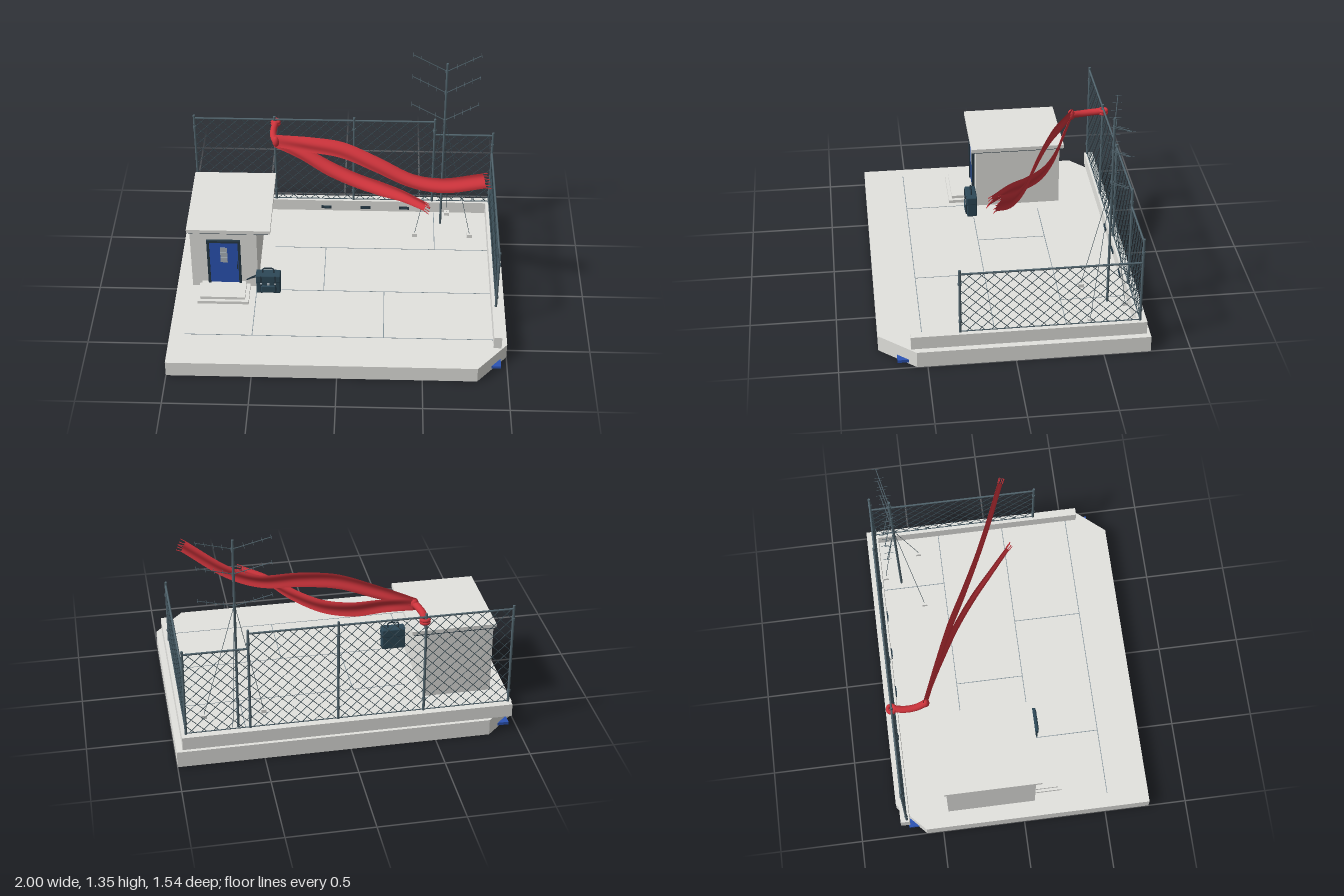
import * as THREE from 'three';
import { RoundedBoxGeometry } from 'three/addons/geometries/RoundedBoxGeometry.js';
import { mergeGeometries } from 'three/addons/utils/BufferGeometryUtils.js';

const material = (name, color, side = THREE.FrontSide) => {
  const m = new THREE.MeshStandardMaterial({ color, side });
  m.name = name;
  return m;
};
const concrete = material('concrete', 0xe3e3df);
const seam = material('seam', 0x87969d);
const metal = material('metal', 0x52656e);
const wire = material('wire', 0x3c4f58);
const trim = material('dark trim', 0x263844);
const blue = material('blue paint', 0x2b53b4);
const red = material('red cloth', 0xcf343c, THREE.DoubleSide);
const canvas = material('bag canvas', 0x2d4857);
const plate = material('pale plate', 0xaab3ba);

const V = (x, y, z) => new THREE.Vector3(x, y, z);

function add(parent, name, geometry, mat) {
  const m = new THREE.Mesh(geometry, mat);
  m.name = name;
  parent.add(m);
  return m;
}

// Box given by its extents on each axis
function box(parent, name, mat, x0, x1, y0, y1, z0, z1) {
  const g = new THREE.BoxGeometry(x1 - x0, y1 - y0, z1 - z0);
  return add(parent, name, g.translate((x0 + x1) / 2, (y0 + y1) / 2, (z0 + z1) / 2), mat);
}

// Round bar between two points
function rod(a, b, r, sides = 8) {
  const d = b.clone().sub(a);
  const g = new THREE.CylinderGeometry(r, r, d.length(), sides);
  g.applyQuaternion(new THREE.Quaternion().setFromUnitVectors(V(0, 1, 0), d.normalize()));
  return g.translate((a.x + b.x) / 2, (a.y + b.y) / 2, (a.z + b.z) / 2);
}

function group(parent, name) {
  const g = new THREE.Group();
  g.name = name;
  parent.add(g);
  return g;
}

// Chain-link panel of height y0..y1 from s = 0 to length; at(s, y) places it
function chainLink(parent, at, length, y0, y1) {
  const wires = [], h = y1 - y0, step = 0.07;
  for (let s = -h; s < length; s += step) {
    const a = Math.max(0, s), b = Math.min(length, s + h);
    if (b - a < 0.005) continue;
    wires.push(rod(at(a, y0 + a - s), at(b, y0 + b - s), 0.002, 5));
    wires.push(rod(at(a, y1 - a + s), at(b, y1 - b + s), 0.002, 5));
  }
  add(parent, 'chainLink', mergeGeometries(wires), wire);
  add(parent, 'topRail', rod(at(0, y1), at(length, y1), 0.006), metal);
  add(parent, 'bottomRail', rod(at(0, y0), at(length, y0), 0.003), metal);
}

function post(parent, x, z, top) {
  const parts = [rod(V(x, 0.17, z), V(x, top, z), 0.0075, 10)];
  for (const y of [0.255, top - 0.09]) parts.push(rod(V(x, y - 0.008, z), V(x, y + 0.008, z), 0.0105, 10));
  add(parent, 'fencePost', mergeGeometries(parts), metal);
}

// Waving cloth strip: centre points and half widths along its length
function ribbon(parent, points, halves, phase) {
  const curve = new THREE.CatmullRomCurve3(points.map(p => V(...p)));
  const g = new THREE.PlaneGeometry(1, 1, 60, 14), p = g.attributes.position;
  const place = (u, v) => {
    const c = curve.getPoint(u), t = curve.getTangent(u);
    const n = V(-t.z, 0, t.x).normalize();
    const across = n.clone().cross(t).normalize();
    if (across.y < 0) across.negate();
    across.addScaledVector(n, -0.18);
    const k = u * (halves.length - 1), i = Math.min(Math.floor(k), halves.length - 2);
    const half = THREE.MathUtils.lerp(halves[i], halves[i + 1], k - i);
    const fold = 0.006 * Math.sin(v * 3.2 + phase + u * 3) * Math.min(1, u * 5 + 0.3);
    return c.addScaledVector(n, fold).addScaledVector(across, v * half);
  };
  for (let i = 0; i < p.count; i++) {
    const q = place(p.getX(i) + 0.5, p.getY(i) * 2);
    p.setXYZ(i, q.x, q.y, q.z);
  }
  g.computeVertexNormals();
  add(parent, 'clothTail', g, red);
  // fringe at the free end
  const dir = curve.getTangent(1), strands = [];
  for (let i = 0; i < 6; i++) {
    const a = place(1, -0.95 + i * 0.38);
    strands.push(rod(a, a.clone().addScaledVector(dir, 0.035).add(V(0, -0.01 + 0.004 * (i % 3), 0)), 0.0025, 5));
  }
  add(parent, 'fringe', mergeGeometries(strands), red);
}

export function createModel() {
  const model = new THREE.Group();
  model.name = 'rooftop';

  // Roof slab with two cut corners
  const outline = [[-1, 0.77], [0.82, 0.77], [1, 0.56], [1, -0.77], [-0.82, -0.77], [-1, -0.6]];
  const shape = new THREE.Shape(outline.map(([x, z]) => new THREE.Vector2(x, -z)));
  add(model, 'slab', new THREE.ExtrudeGeometry(shape, { depth: 0.1, bevelEnabled: false }).rotateX(-Math.PI / 2), concrete);
  for (const [x0, x1, z] of [[-0.42, 0.92, -0.31], [-0.36, 0.92, 0.105], [-0.91, 0.92, 0.52]])
    box(model, 'slabSeam', seam, x0, x1, 0.099, 0.101, z - 0.002, z + 0.002);
  for (const [x, z0, z1] of [[-0.51, 0.11, 0.52], [0.27, 0.105, 0.52], [-0.1, -0.31, 0.105], [0.585, -0.69, -0.31]])
    box(model, 'slabSeam', seam, x - 0.002, x + 0.002, 0.099, 0.101, z0, z1);
  box(model, 'cornerBlock', blue, 0.87, 0.963, 0.01, 0.028, 0.57, 0.668);
  box(model, 'cornerBlock', blue, -0.955, -0.86, 0.01, 0.028, -0.705, -0.61);

  // Parapets and drain slots
  box(model, 'backParapet', concrete, -0.957, 0.965, 0.1, 0.18, -0.75, -0.695);
  box(model, 'sideParapet', concrete, 0.918, 0.965, 0.1, 0.18, -0.695, 0.59);
  for (const x of [-0.11, 0.143, 0.394]) {
    box(model, 'drainSlot', trim, x - 0.032, x + 0.032, 0.12, 0.14, -0.7, -0.689);
    box(model, 'drainInset', canvas, x - 0.02, x + 0.02, 0.126, 0.134, -0.69, -0.687);
  }

  // Fences
  const fence = group(model, 'fence');
  const stops = [-0.94, -0.435, 0.065, 0.572, 0.94];
  stops.forEach((x, i) => {
    post(fence, x, -0.711, i < 4 ? 0.825 : 0.727);
    if (i < 4) chainLink(fence, (s, y) => V(x + s, y, -0.711), stops[i + 1] - x, 0.185, i < 3 ? 0.803 : 0.706);
  });
  post(fence, 0.94, 0.31, 0.595);
  chainLink(fence, (s, y) => V(0.94, y, 0.31 - s), 1.02, 0.185, 0.57);

  // Stair hut
  const hut = group(model, 'hut');
  box(hut, 'walls', concrete, -0.905, -0.503, 0.1, 0.53, -0.456, 0.075);
  box(hut, 'roofTrim', trim, -0.91, -0.43, 0.527, 0.538, -0.46, 0.1);
  box(hut, 'roof', concrete, -0.92, -0.417, 0.538, 0.562, -0.47, 0.11);
  box(hut, 'lowerStep', concrete, -0.86, -0.55, 0.1, 0.12, 0.075, 0.245);
  box(hut, 'upperStep', concrete, -0.845, -0.573, 0.12, 0.138, 0.075, 0.225);
  box(hut, 'doorFrameLeft', trim, -0.617, -0.602, 0.138, 0.465, 0.075, 0.092);
  box(hut, 'doorFrameRight', trim, -0.805, -0.79, 0.138, 0.465, 0.075, 0.092);
  box(hut, 'doorFrameTop', trim, -0.79, -0.617, 0.45, 0.465, 0.075, 0.092);
  box(hut, 'door', blue, -0.79, -0.617, 0.138, 0.45, 0.075, 0.084);
  for (const y of [0.297, 0.336, 0.375]) box(hut, 'doorNotice', plate, -0.725, -0.682, y, y + 0.034, 0.083, 0.087);
  add(hut, 'doorHandle', rod(V(-0.624, 0.25, 0.09), V(-0.624, 0.31, 0.09), 0.0025), trim);

  // Bag beside the door
  const bag = group(model, 'bag');
  add(bag, 'bagBody', new RoundedBoxGeometry(0.148, 0.137, 0.062, 3, 0.008).translate(-0.435, 0.175, 0.115), canvas);
  add(bag, 'bagFlap', new RoundedBoxGeometry(0.15, 0.055, 0.068, 3, 0.008).translate(-0.435, 0.218, 0.116), canvas);
  add(bag, 'bagPocket', new RoundedBoxGeometry(0.09, 0.05, 0.02, 2, 0.006).translate(-0.435, 0.145, 0.147), canvas);
  for (const x of [-0.478, -0.392]) {
    box(bag, 'bagStrap', trim, x - 0.005, x + 0.005, 0.115, 0.243, 0.145, 0.153);
    box(bag, 'buckle', plate, x - 0.006, x + 0.006, 0.182, 0.192, 0.152, 0.155);
  }
  box(bag, 'bagClasp', plate, -0.443, -0.427, 0.176, 0.19, 0.149, 0.153);
  const handle = new THREE.CatmullRomCurve3([V(-0.468, 0.24, 0.115), V(-0.466, 0.275, 0.115), V(-0.435, 0.28, 0.115), V(-0.404, 0.275, 0.115), V(-0.402, 0.24, 0.115)]);
  add(bag, 'bagHandle', new THREE.TubeGeometry(handle, 20, 0.004, 6), trim);
  const sling = new THREE.CatmullRomCurve3([V(-0.5, 0.23, 0.115), V(-0.54, 0.2, 0.11), V(-0.572, 0.172, 0.1), V(-0.535, 0.19, 0.1), V(-0.5, 0.2, 0.1)]);
  add(bag, 'shoulderStrap', new THREE.TubeGeometry(sling, 20, 0.004, 6), trim);

  // Antenna mast with guy lines and three pairs of swept arms
  const mast = group(model, 'antennaMast'), mx = 0.626, mz = -0.58;
  add(mast, 'mastPole', rod(V(mx, 0.1, mz), V(mx, 1.322, mz), 0.0075, 10), metal);
  for (const [x, z] of [[0.67, -0.675], [0.46, -0.45], [0.81, -0.45]]) {
    box(mast, 'guyAnchor', concrete, x - 0.016, x + 0.016, 0.1, 0.123, z - 0.016, z + 0.016);
    add(mast, 'guyLine', rod(V(x, 0.12, z), V(mx, 0.92, mz), 0.0015, 5), wire);
  }
  for (const y of [1.267, 1.112, 0.91]) {
    add(mast, 'armClamp', rod(V(mx, y - 0.008, mz), V(mx, y + 0.008, mz), 0.0105, 10), metal);
    for (const side of [-1, 1]) {
      const root = V(mx, y, mz), tip = V(mx + side * 0.208, y + 0.082, mz - 0.052);
      const parts = [rod(root, tip, 0.0025, 6)];
      for (let i = 1; i <= 4; i++) {
        const c = root.clone().lerp(tip, i * 0.235 + 0.05), h = 0.036 - i * 0.003;
        parts.push(rod(V(c.x, c.y, c.z - h), V(c.x, c.y, c.z + h), 0.0014, 5));
      }
      add(mast, 'antennaArm', mergeGeometries(parts), metal);
    }
  }

  // Scarf knotted round a fence post, with two tails blowing in the wind
  const scarf = group(model, 'scarf');
  for (const y of [0.773, 0.789])
    add(scarf, 'knot', new THREE.TorusGeometry(0.021, 0.011, 10, 24).rotateX(Math.PI / 2).translate(-0.427, y, -0.711), red);
  const neck = new THREE.CatmullRomCurve3([V(-0.427, 0.783, -0.695), V(-0.436, 0.774, -0.64), V(-0.432, 0.77, -0.57), V(-0.412, 0.776, -0.505)]);
  add(scarf, 'scarfNeck', new THREE.TubeGeometry(neck, 24, 0.021, 12), red);
  add(scarf, 'scarfFold', new THREE.SphereGeometry(0.026, 16, 10).scale(0.85, 1.4, 0.85).translate(-0.414, 0.776, -0.51), red);
  ribbon(scarf, [[-0.42, 0.778, -0.515], [-0.2, 0.825, -0.41], [0, 0.857, -0.315], [0.2, 0.832, -0.215],
    [0.42, 0.787, -0.115], [0.6, 0.82, -0.03], [0.84, 0.95, 0.085]], [0.04, 0.05, 0.054, 0.052, 0.046, 0.047, 0.046], 0.4);
  ribbon(scarf, [[-0.42, 0.772, -0.515], [-0.25, 0.74, -0.44], [-0.08, 0.687, -0.36], [0.08, 0.672, -0.27],
    [0.24, 0.7, -0.15], [0.37, 0.742, -0.03], [0.5, 0.758, 0.085]], [0.038, 0.046, 0.052, 0.05, 0.047, 0.038, 0.03], 1.6);

  return model;
}
